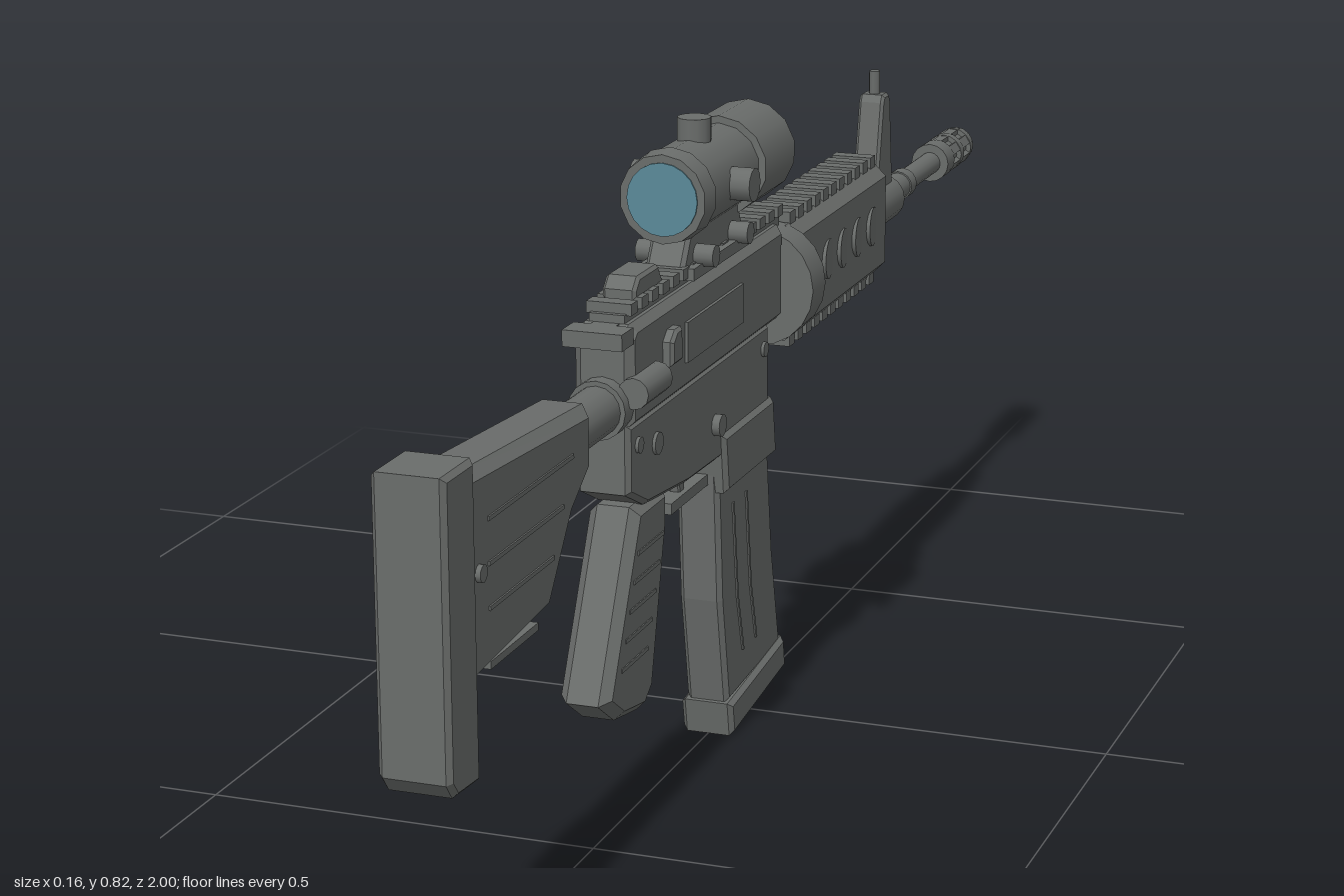
import * as THREE from 'three';

const gunmetal = new THREE.MeshStandardMaterial({ color: 0x6a6d6b });
gunmetal.name = 'gunmetal';
const glass = new THREE.MeshStandardMaterial({ color: 0x5a8a99 });
glass.name = 'lens glass';

export function createModel() {
  const root = new THREE.Group();
  root.name = 'rifle';

  const add = (name, geo, mat = gunmetal) => {
    const m = new THREE.Mesh(geo, mat);
    m.name = name;
    root.add(m);
    return m;
  };
  // Side profile given as [z, y], extruded across x with chamfered edges
  const profile = (name, pts, width, bevel = 0.006, x = 0) => {
    const shape = new THREE.Shape(pts.map(([z, y]) => new THREE.Vector2(-z, y)));
    const geo = new THREE.ExtrudeGeometry(shape, {
      depth: width - 2 * bevel, bevelEnabled: bevel > 0, bevelThickness: bevel,
      bevelSize: bevel, bevelOffset: -bevel, bevelSegments: 1,
    });
    geo.translate(0, 0, -(width - 2 * bevel) / 2).rotateY(Math.PI / 2).translate(x, 0, 0);
    return add(name, geo);
  };
  // Box given by its limits
  const box = (name, x0, x1, y0, y1, z0, z1) => {
    const geo = new THREE.BoxGeometry(x1 - x0, y1 - y0, z1 - z0);
    return add(name, geo.translate((x0 + x1) / 2, (y0 + y1) / 2, (z0 + z1) / 2));
  };
  // Cylinder along z; r0 is the radius at z0, r1 at z1
  const rod = (name, r0, r1, y, z0, z1, sides = 16, mat = gunmetal) =>
    add(name, new THREE.CylinderGeometry(r1, r0, z1 - z0, sides)
      .rotateX(Math.PI / 2).translate(0, y, (z0 + z1) / 2), mat);
  // Cylinder along x
  const pin = (name, r, x0, x1, y, z, sides = 12) =>
    add(name, new THREE.CylinderGeometry(r, r, x1 - x0, sides)
      .rotateZ(Math.PI / 2).translate((x0 + x1) / 2, y, z));
  // Row of rail teeth
  const teeth = (name, z0, z1, count, hw, y0, y1) => {
    const step = (z1 - z0) / count;
    for (let i = 0; i < count; i++) {
      box(name, -hw, hw, y0, y1, z0 + (i + 0.2) * step, z0 + (i + 0.8) * step);
    }
  };

  // Stock
  profile('stockBody', [[0.93, 0.596], [0.578, 0.575], [0.578, 0.5], [0.636, 0.462],
    [0.706, 0.372], [0.93, 0.356]], 0.074, 0.013);
  profile('buttPad', [[1, 0.612], [0.922, 0.612], [0.922, 0.252], [0.985, 0.256], [1, 0.275]], 0.085, 0.006);
  box('stockLever', -0.018, 0.018, 0.345, 0.354, 0.7, 0.834);
  box('stockLeverPost', -0.012, 0.012, 0.35, 0.38, 0.76, 0.8);
  for (const s of [-1, 1]) {
    for (let i = 0; i < 3; i++) {
      const x = s * 0.037;
      box('stockRib', x - 0.002, x + 0.002, 0.43 + i * 0.05, 0.435 + i * 0.05, 0.7 - i * 0.03, 0.88);
    }
    pin('stockPin', 0.01, s > 0 ? 0.03 : -0.043, s > 0 ? 0.043 : -0.03, 0.48, 0.905);
  }
  rod('bufferTube', 0.03, 0.03, 0.535, 0.44, 0.6);
  rod('bufferNut', 0.036, 0.036, 0.535, 0.445, 0.475);

  // Receiver
  profile('upperReceiver', [[0.455, 0.62], [0.44, 0.632], [-0.085, 0.632], [-0.085, 0.508], [0.455, 0.508]], 0.074, 0.01);
  profile('lowerReceiver', [[0.458, 0.515], [-0.037, 0.515], [-0.037, 0.395], [0.145, 0.385],
    [0.26, 0.388], [0.4, 0.402], [0.458, 0.43]], 0.068, 0.006);
  profile('magazineWell', [[0.146, 0.415], [-0.042, 0.415], [-0.053, 0.337], [0.136, 0.337]], 0.08, 0.006);
  box('receiverRail', -0.022, 0.022, 0.625, 0.642, -0.11, 0.44);
  teeth('receiverRailTooth', -0.115, 0.44, 16, 0.028, 0.64, 0.654);
  box('chargingHandle', -0.016, 0.016, 0.612, 0.632, 0.4, 0.47);
  box('chargingHandleGrip', -0.037, 0.037, 0.612, 0.632, 0.45, 0.487);

  // Right and left side controls
  box('ejectionCover', 0.035, 0.041, 0.545, 0.595, 0.08, 0.28);
  profile('shellDeflector', [[0.355, 0.56], [0.355, 0.59], [0.34, 0.602], [0.32, 0.602], [0.32, 0.56]], 0.02, 0.004, 0.04);
  add('forwardAssist', new THREE.CylinderGeometry(0.019, 0.019, 0.08, 12)
    .rotateX(Math.PI / 2).translate(0.04, 0.555, 0.42));
  pin('magazineRelease', 0.014, 0.03, 0.044, 0.435, 0.165);
  box('boltRelease', -0.042, -0.03, 0.44, 0.5, 0.15, 0.18);
  pin('boltReleaseButton', 0.014, -0.046, -0.03, 0.435, 0.165);
  pin('selectorPivot', 0.014, -0.042, 0.038, 0.47, 0.37);
  box('selectorLever', -0.044, -0.034, 0.465, 0.477, 0.32, 0.38);
  pin('takedownPin', 0.01, -0.038, 0.038, 0.485, 0.43);
  pin('pivotPin', 0.01, -0.038, 0.038, 0.485, -0.015);

  // Trigger and guard
  box('triggerGuard', -0.014, 0.014, 0.347, 0.361, 0.135, 0.268);
  profile('trigger', [[0.226, 0.395], [0.196, 0.395], [0.205, 0.355], [0.22, 0.358]], 0.014, 0.002);

  // Pistol grip with raised grip lines
  profile('pistolGrip', [[0.425, 0.405], [0.325, 0.405], [0.325, 0.36], [0.375, 0.165],
    [0.405, 0.145], [0.48, 0.158], [0.53, 0.192]], 0.064, 0.012);
  for (let i = 0; i < 5; i++) {
    const y = 0.22 + i * 0.032;
    const z = 0.44 - i * 0.014;
    box('gripLine', -0.0335, 0.0335, y, y + 0.005, z - 0.04, z + 0.045);
  }

  // Curved magazine
  profile('magazine', [[0.139, 0.36], [0.128, 0.19], [0.102, 0.045], [-0.102, 0.06],
    [-0.071, 0.2], [-0.05, 0.36]], 0.056, 0.006);
  profile('magazineBase', [[0.108, 0.046], [-0.102, 0.068], [-0.109, 0.024], [0.1, 0]], 0.069, 0.006);
  for (const z of [0, 0.05]) {
    profile('magazineRib', [[z + 0.038, 0.31], [z + 0.033, 0.31], [z + 0.017, 0.18], [z - 0.005, 0.1],
      [z, 0.1], [z + 0.022, 0.18]], 0.06, 0);
  }

  // Handguard: chamfered tube section along z
  const w = 0.042, c = 0.016, y0 = 0.468, y1 = 0.622;
  const section = new THREE.Shape([[-w + c, y0], [w - c, y0], [w, y0 + c], [w, y1 - c],
    [w - c, y1], [-w + c, y1], [-w, y1 - c], [-w, y0 + c]].map(([x, y]) => new THREE.Vector2(x, y)));
  add('handguard', new THREE.ExtrudeGeometry(section, { depth: 0.385, bevelEnabled: false }).translate(0, 0, -0.507));
  rod('deltaRing', 0.078, 0.078, 0.548, -0.133, -0.082, 20);
  teeth('handguardTopTooth', -0.507, -0.13, 11, 0.028, 0.615, 0.636);
  teeth('handguardBottomTooth', -0.507, -0.13, 11, 0.028, 0.456, 0.475);
  for (const s of [-1, 1]) {
    for (let i = 0; i < 5; i++) {
      // Tilted discs leave a crescent lip at each vent
      const vent = pin('ventLip', 0.027, -0.004, 0.004, 0, 0, 16);
      vent.position.set(s * 0.04, 0.548, -0.19 - i * 0.064);
      vent.rotation.y = s * 0.12;
    }
  }

  // Gas block and front sight
  rod('gasBlock', 0.033, 0.033, 0.547, -0.627, -0.505);
  profile('frontSightTower', [[-0.54, 0.565], [-0.617, 0.565], [-0.602, 0.695], [-0.595, 0.705],
    [-0.573, 0.705], [-0.567, 0.695]], 0.036, 0.004);
  add('frontSightPost', new THREE.CylinderGeometry(0.008, 0.008, 0.04, 8).translate(0, 0.717, -0.584));
  box('gasBlockLug', -0.014, 0.014, 0.48, 0.53, -0.59, -0.545);

  // Barrel and slotted muzzle
  rod('barrel', 0.016, 0.016, 0.547, -0.88, -0.5);
  rod('barrelCollar', 0.021, 0.021, 0.547, -0.725, -0.7);
  rod('barrelShoulder', 0.019, 0.019, 0.547, -0.7, -0.62);
  rod('muzzleCore', 0.021, 0.021, 0.547, -0.995, -0.87);
  rod('muzzleCollar', 0.028, 0.028, 0.547, -0.895, -0.86);
  rod('muzzleBand', 0.028, 0.028, 0.547, -0.945, -0.93);
  rod('muzzleTip', 0.026, 0.028, 0.547, -1, -0.98);
  for (let i = 0; i < 6; i++) {
    const rib = add('muzzleRib', new THREE.BoxGeometry(0.014, 0.008, 0.12).translate(0, 0.0225, 0));
    rib.position.set(0, 0.547, -0.93);
    rib.rotation.z = i * Math.PI / 3;
  }

  // Rear sight
  profile('rearSight', [[0.402, 0.65], [0.402, 0.662], [0.388, 0.676], [0.325, 0.676], [0.308, 0.65]], 0.042, 0.004);

  // Scope
  const sy = 0.737;
  rod('scopeTube', 0.054, 0.054, sy, 0.045, 0.24, 14);
  rod('scopeEyepiece', 0.058, 0.055, sy, 0.225, 0.256, 14);
  rod('scopeBell', 0.063, 0.063, sy, -0.053, 0.058, 14);
  rod('eyepieceLens', 0.045, 0.045, sy, 0.25, 0.258, 20, glass);
  rod('frontLens', 0.052, 0.052, sy, -0.055, -0.048, 20, glass);
  pin('sideTurret', 0.021, -0.078, 0.078, sy, 0.145);
  add('topTurret', new THREE.CylinderGeometry(0.021, 0.021, 0.05, 12).translate(0, 0.791, 0.145));
  profile('scopeMount', [[0.25, 0.64], [0.25, 0.655], [0.225, 0.695], [0.055, 0.695], [0.035, 0.655], [0.035, 0.64]], 0.05, 0.005);
  box('scopeClamp', -0.036, 0.036, 0.637, 0.652, 0.04, 0.245);
  for (const z of [0.08, 0.205]) pin('clampBolt', 0.014, -0.05, 0.05, 0.66, z);

  return root;
}
